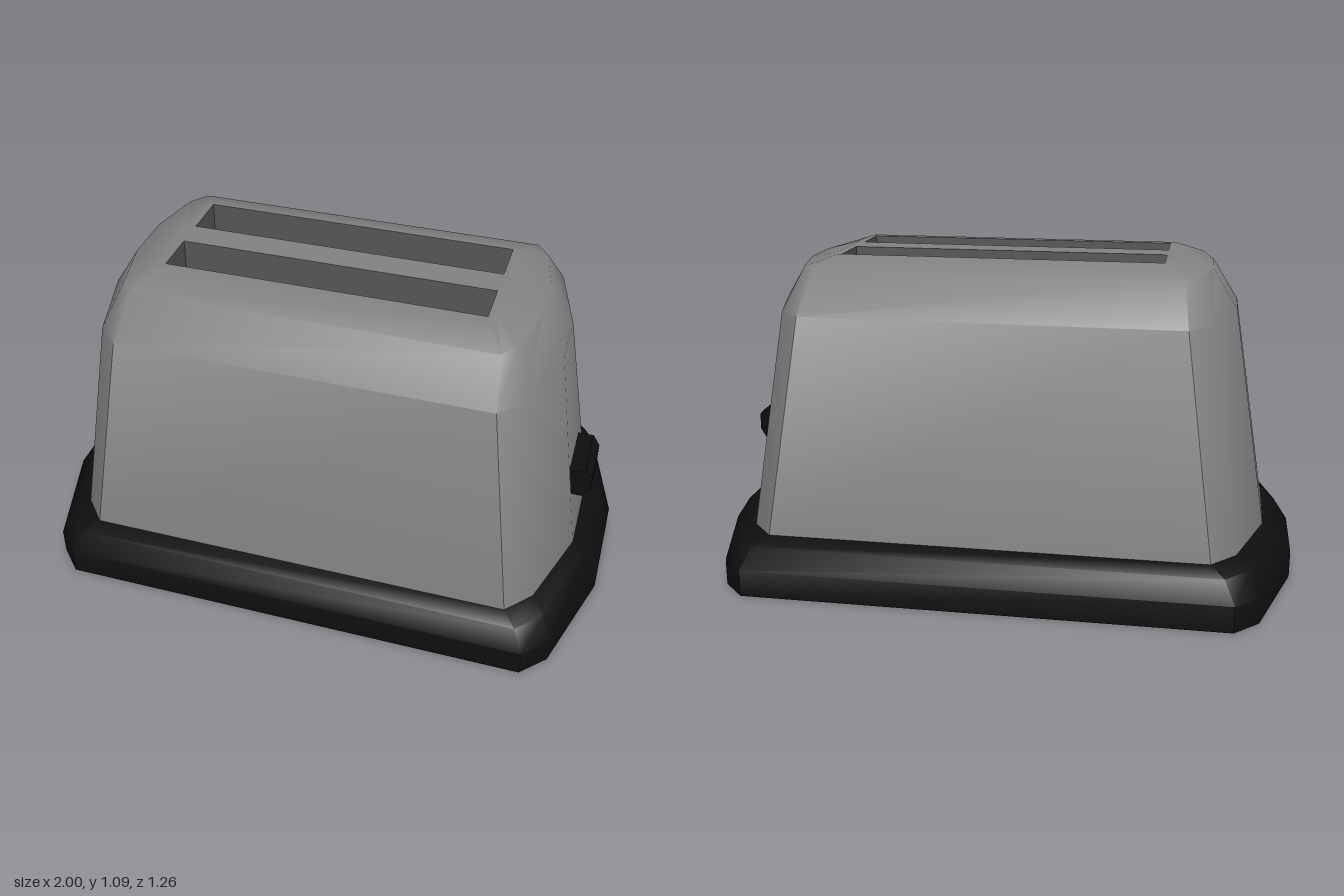
import * as THREE from 'three';
import { mergeGeometries, toCreasedNormals } from 'three/addons/utils/BufferGeometryUtils.js';

const CREASE = 0.76;
const BLACK = 0x0e0e0e;
const STEEL = 0x838383;
const SLOT = 0x585858;

// Mirrors quarter-outline points [x, z] into a full ring at height y
function ring(y, quarter) {
  const back = [...quarter].reverse();
  return [
    ...quarter.map(([x, z]) => [x, y, -z]),
    ...back.map(([x, z]) => [-x, y, -z]),
    ...quarter.map(([x, z]) => [-x, y, z]),
    ...back.map(([x, z]) => [x, y, z]),
  ];
}

// Skins a stack of rings, with optional flat ends
function loft(rings, capStart, capEnd) {
  const pos = [];
  const tri = (a, b, c) => pos.push(...a, ...b, ...c);
  const n = rings[0].length;
  for (let r = 0; r + 1 < rings.length; r++) {
    const a = rings[r], b = rings[r + 1];
    for (let i = 0; i < n; i++) {
      const j = (i + 1) % n;
      tri(a[i], a[j], b[j]);
      tri(a[i], b[j], b[i]);
    }
  }
  const first = rings[0], last = rings[rings.length - 1];
  for (let i = 1; i + 1 < n; i++) {
    if (capStart) tri(first[0], first[i + 1], first[i]);
    if (capEnd) tri(last[0], last[i], last[i + 1]);
  }
  const g = new THREE.BufferGeometry();
  g.setAttribute('position', new THREE.Float32BufferAttribute(pos, 3));
  return g;
}

function part(name, geometry, color) {
  const mesh = new THREE.Mesh(
    toCreasedNormals(geometry, CREASE),
    new THREE.MeshStandardMaterial({ color }),
  );
  mesh.name = name;
  return mesh;
}

export function createModel() {
  const toaster = new THREE.Group();
  toaster.name = 'toaster';

  // Dark plinth with a bevelled upper rim
  const foot = [[1, 0.16], [0.89, 0.545], [0.81, 0.628]];
  const waist = ring(0.19, [[0.9, 0.16], [0.81, 0.455], [0.73, 0.545]]);
  toaster.add(part('base', loft([
    ring(0, foot),
    ring(0.09, foot),
    ring(0.165, [[0.95, 0.16], [0.855, 0.51], [0.775, 0.595]]),
    waist,
  ], true, true), BLACK));

  // Tapered housing, rounded over towards the top
  const top = 1.09;
  const topRing = ring(top, [[0.57, 0.08], [0.565, 0.17], [0.555, 0.23]]);
  const shell = loft([
    waist,
    ring(0.92, [[0.78, 0.1], [0.705, 0.38], [0.63, 0.455]]),
    ring(1.055, [[0.695, 0.09], [0.655, 0.28], [0.61, 0.34]]),
    topRing,
  ], false, false);

  // Top plate pierced by the two bread slots
  const plate = new THREE.Shape(topRing.map(([x, , z]) => new THREE.Vector2(x, -z)));
  const halfL = 0.54;
  const slots = [
    { name: 'backSlot', z: -0.142, halfW: 0.082 },
    { name: 'frontSlot', z: 0.123, halfW: 0.077 },
  ];
  for (const { z, halfW } of slots) {
    plate.holes.push(new THREE.Path([
      [-halfL, -z - halfW], [-halfL, -z + halfW], [halfL, -z + halfW], [halfL, -z - halfW],
    ].map(([x, y]) => new THREE.Vector2(x, y))));
  }
  const lid = new THREE.ShapeGeometry(plate).rotateX(-Math.PI / 2).translate(0, top, 0).toNonIndexed();
  lid.deleteAttribute('uv');
  lid.deleteAttribute('normal');
  toaster.add(part('housing', mergeGeometries([shell, lid]), STEEL));

  // Slot wells: walls facing inward and a floor
  for (const { name, z, halfW } of slots) {
    const outline = [[halfL, halfW]];
    const well = part(name, loft([ring(top, outline), ring(0.55, outline)], false, true), SLOT);
    well.position.z = z;
    toaster.add(well);
  }

  // Bevelled push lever on the +x end
  const lever = part('lever', loft([
    ring(0.84, [[0.052, 0.105]]),
    ring(0.905, [[0.052, 0.105]]),
    ring(0.93, [[0.028, 0.085]]),
  ], true, true).rotateZ(-Math.PI / 2), BLACK);
  lever.position.set(0, 0.432, 0.025);
  toaster.add(lever);

  return toaster;
}
